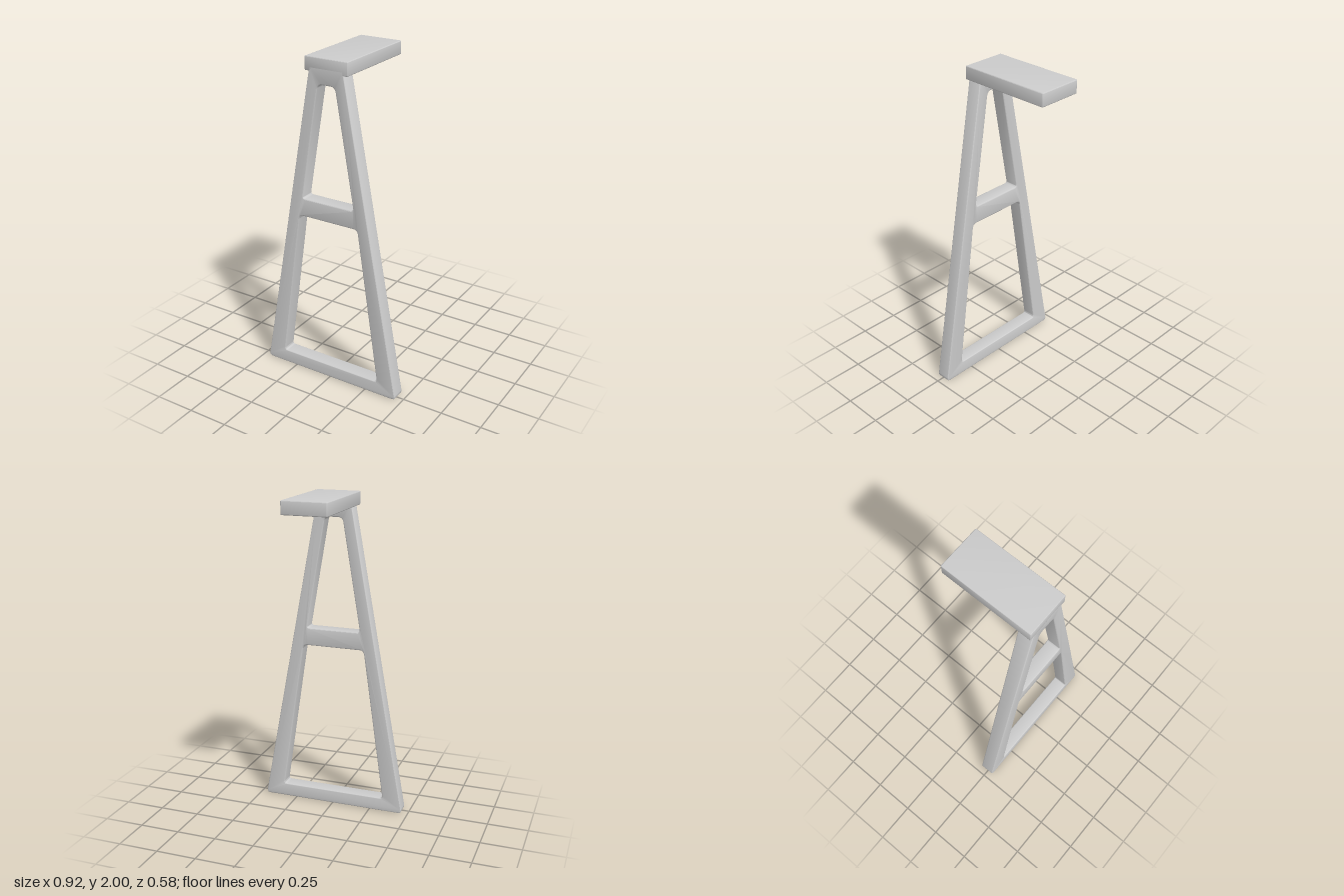
import * as THREE from 'three';
import { toCreasedNormals } from 'three/addons/utils/BufferGeometryUtils.js';

const material = new THREE.MeshStandardMaterial({ color: 0xcccccc });

// Traces a polygon of [x, y, cornerRadius] points with rounded corners.
function roundedPolygon(path, corners) {
  const n = corners.length;
  corners.forEach(([x, y, r], i) => {
    const here = new THREE.Vector2(x, y);
    const toward = ([px, py]) => new THREE.Vector2(px, py).sub(here).normalize();
    const a = toward(corners[(i + n - 1) % n]);
    const b = toward(corners[(i + 1) % n]);
    const cut = r / Math.tan(Math.acos(a.dot(b)) / 2);
    const start = here.clone().addScaledVector(a, cut);
    const end = here.clone().addScaledVector(b, cut);
    if (i === 0) path.moveTo(start.x, start.y);
    else path.lineTo(start.x, start.y);
    path.quadraticCurveTo(x, y, end.x, end.y);
  });
  path.closePath();
  return path;
}

// Symmetric trapezoid: half widths, heights and corner radii of its two ends.
function trapezoid(path, w0, y0, r0, w1, y1, r1) {
  return roundedPolygon(path, [[-w0, y0, r0], [w0, y0, r0], [w1, y1, r1], [-w1, y1, r1]]);
}

// Extrudes to an exact overall depth with softened edges, starting at z = 0.
function softExtrude(shape, depth, bevel) {
  const geometry = new THREE.ExtrudeGeometry(shape, {
    depth: depth - 2 * bevel, bevelEnabled: true, bevelThickness: bevel,
    bevelSize: bevel, bevelOffset: -bevel, bevelSegments: 3, curveSegments: 8,
  });
  geometry.translate(0, 0, bevel);
  return toCreasedNormals(geometry, 0.6);
}

export function createModel() {
  const model = new THREE.Group();
  model.name = 'stand';

  // Tapered upright frame with two openings split by a crossbar
  const outline = trapezoid(new THREE.Shape(), 0.463, 0, 0.022, 0.108, 1.945, 0.005);
  outline.holes.push(
    trapezoid(new THREE.Path(), 0.335, 0.085, 0.016, 0.196, 1.05, 0.03),
    trapezoid(new THREE.Path(), 0.172, 1.16, 0.016, 0.055, 1.852, 0.035),
  );
  const frame = new THREE.Mesh(softExtrude(outline, 0.09, 0.006), material);
  frame.name = 'uprightFrame';
  frame.position.z = 0.198;
  model.add(frame);

  // Flat top plate reaching backward from the frame
  const plan = trapezoid(new THREE.Shape(), 0.136, -0.288, 0.003, 0.136, 0.288, 0.008);
  const plate = new THREE.Mesh(softExtrude(plan, 0.08, 0.005), material);
  plate.name = 'topPlate';
  plate.rotation.x = -Math.PI / 2;
  plate.position.y = 1.92;
  model.add(plate);

  return model;
}
